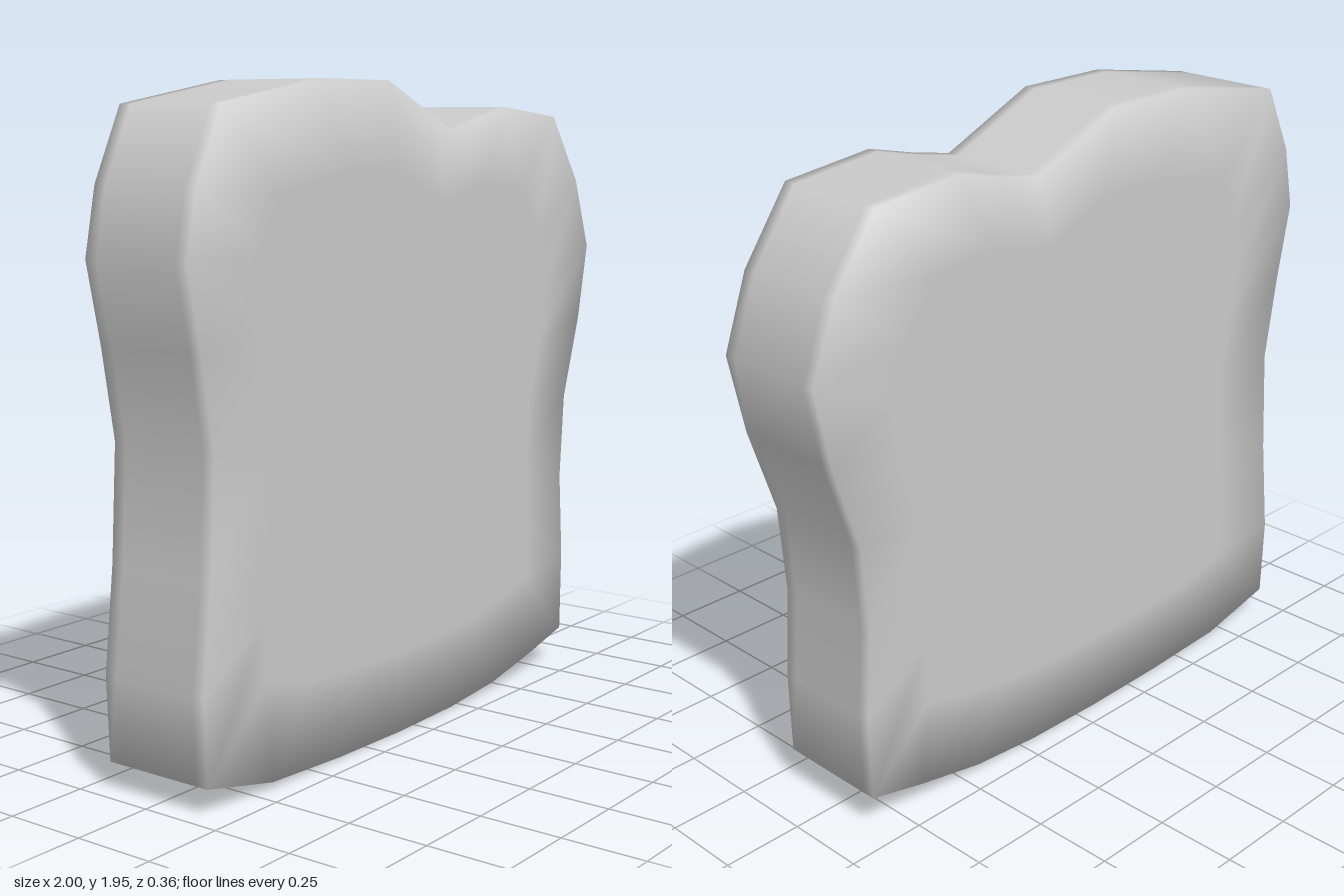
import * as THREE from 'three';

// Slice outline, counter-clockwise from the bottom left corner
const OUTLINE = [
  [-0.95, 0.08], [-0.68, 0.02], [-0.38, 0.005], [-0.08, 0], [0.2, 0.005], [0.44, 0.025], [0.67, 0.07],
  [0.86, 0.115], [0.865, 0.38], [0.845, 0.65], [0.865, 0.92], [0.95, 1.18], [1, 1.42], [0.92, 1.64],
  [0.77, 1.85], [0.475, 1.88], [0.32, 1.84], [0.175, 1.81], [-0.14, 1.95], [-0.455, 1.95], [-0.86, 1.88],
  [-0.96, 1.67], [-1, 1.475], [-0.95, 1.24], [-0.905, 0.975], [-0.925, 0.64], [-0.96, 0.33],
].map(([x, y]) => new THREE.Vector2(x, y));

const CENTRE = new THREE.Vector2(0, 0.97);
const HALF = 0.18;

// Rings from front to back: scale about the centre, z, and how far normals lean outward / along z
const RINGS = [
  { scale: 0.001, z: HALF, out: 0, along: 1 },
  { scale: 0.74, z: HALF, out: 0, along: 1 },
  { scale: 1, z: HALF, out: 0.7, along: 0.7 },
  { scale: 1, z: HALF - 0.04, out: 1, along: 0 },
  { scale: 1, z: -HALF + 0.04, out: 1, along: 0 },
  { scale: 1, z: -HALF, out: 0.7, along: -0.7 },
  { scale: 0.74, z: -HALF, out: 0, along: -1 },
  { scale: 0.001, z: -HALF, out: 0, along: -1 },
];

function sliceGeometry() {
  const n = OUTLINE.length;
  const positions = [], normals = [], index = [];

  // Outward direction at each outline point
  const edgeNormal = (a, b) => new THREE.Vector2(b.y - a.y, a.x - b.x).normalize();
  const outward = OUTLINE.map((p, i) =>
    edgeNormal(OUTLINE[(i + n - 1) % n], p).add(edgeNormal(p, OUTLINE[(i + 1) % n])).normalize());

  RINGS.forEach(({ scale, z, out, along }, r) => {
    OUTLINE.forEach((p, i) => {
      const q = p.clone().sub(CENTRE).multiplyScalar(scale).add(CENTRE);
      positions.push(q.x, q.y, z);
      normals.push(outward[i].x * out, outward[i].y * out, along);
      if (r === 0) return;
      // Join to the ring in front
      const j = (i + 1) % n;
      const a = (r - 1) * n + i, b = (r - 1) * n + j, c = r * n + j, d = r * n + i;
      index.push(a, d, c, a, c, b);
    });
  });

  const geometry = new THREE.BufferGeometry();
  geometry.setAttribute('position', new THREE.Float32BufferAttribute(positions, 3));
  geometry.setAttribute('normal', new THREE.Float32BufferAttribute(normals, 3));
  geometry.setIndex(index);
  geometry.normalizeNormals();
  return geometry;
}

export function createModel() {
  const group = new THREE.Group();
  group.name = 'breadSlice';
  const slice = new THREE.Mesh(sliceGeometry(), new THREE.MeshStandardMaterial({ color: 0xcccccc }));
  slice.name = 'slice';
  group.add(slice);
  return group;
}
